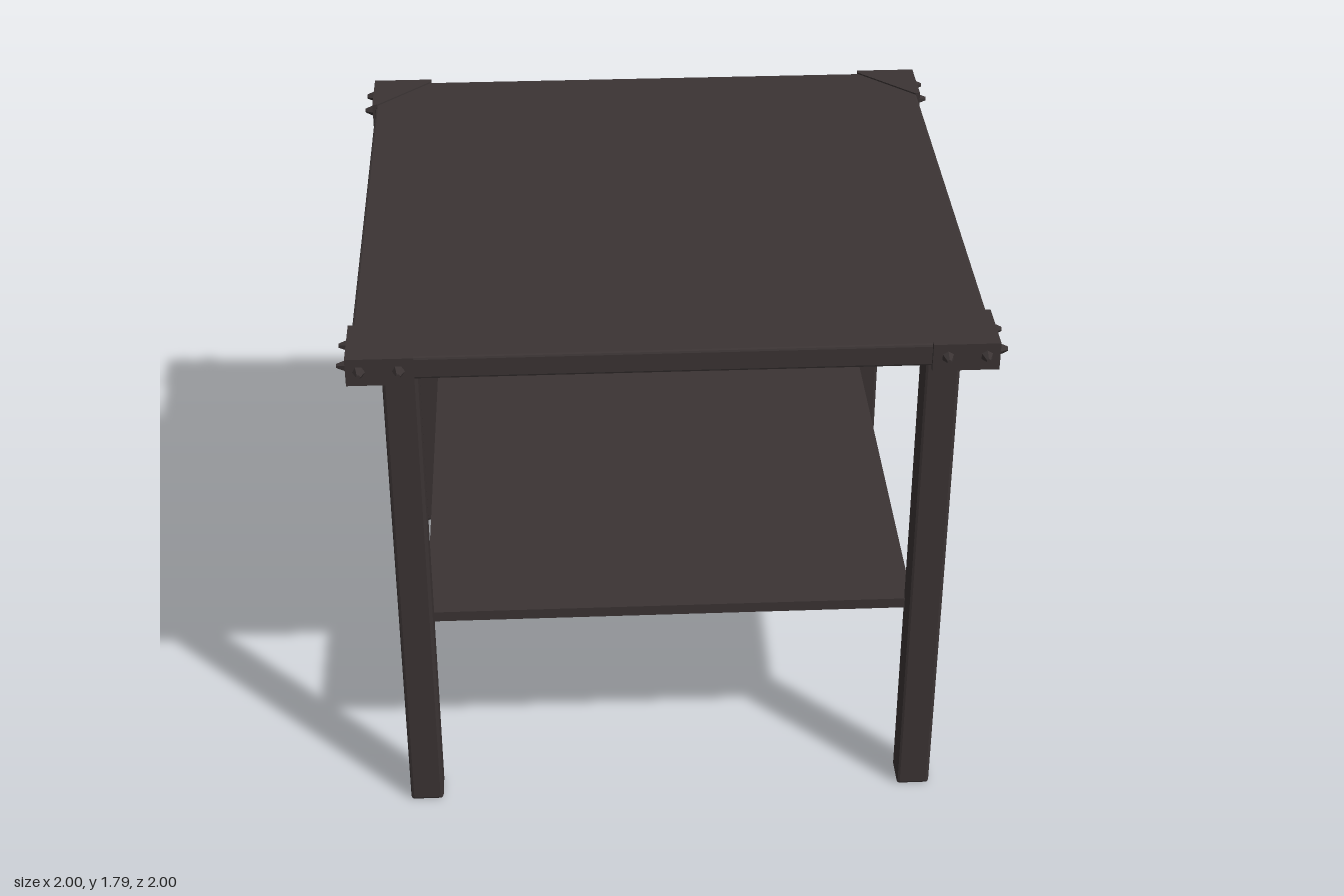
import * as THREE from 'three';
import { RoundedBoxGeometry } from 'three/addons/geometries/RoundedBoxGeometry.js';

export function createModel() {
  const model = new THREE.Group();
  model.name = 'sideTable';
  const darkWood = new THREE.MeshStandardMaterial({ color: 0x3b3434 });
  darkWood.name = 'dark wood';
  darkWood.flatShading = true;

  const add = (parent, name, geometry, x = 0, y = 0, z = 0) => {
    const mesh = new THREE.Mesh(geometry, darkWood);
    mesh.name = name;
    mesh.position.set(x, y, z);
    parent.add(mesh);
    return mesh;
  };
  // Box with one narrow chamfer along every edge
  const chamferBox = (w, h, d, c) => new RoundedBoxGeometry(w, h, d, 1, c);

  // Table top and lower shelf
  add(model, 'tableTop', chamferBox(1.92, 0.075, 1.92, 0.008), 0, 1.7475, 0);
  add(model, 'shelf', new THREE.BoxGeometry(1.58, 0.036, 1.58), 0, 0.702, 0);

  // Corner bracket: a triangular cap wrapping the corner of the top
  const outer = 0.972, end = 0.77, lip = 0.955;
  const outline = new THREE.Shape([
    [end, -lip], [end, -outer], [outer, -outer], [outer, -end], [lip, -end],
  ].map(([x, y]) => new THREE.Vector2(x, y)));
  const bracketGeometry = new THREE.ExtrudeGeometry(outline, { depth: 0.09, bevelEnabled: false });
  bracketGeometry.rotateX(-Math.PI / 2);

  const legGeometry = chamferBox(0.108, 1.72, 0.108, 0.01);
  const studGeometry = new THREE.CylinderGeometry(0.007, 0.019, 0.028, 6);

  // Each corner has a leg, a bracket and two studs on each outer face
  for (let i = 0; i < 4; i++) {
    const corner = new THREE.Group();
    corner.name = 'corner' + (i + 1);
    corner.rotation.y = i * Math.PI / 2;
    add(corner, 'leg', legGeometry, 0.82, 0.86, 0.82);
    add(corner, 'bracket', bracketGeometry, 0, 1.7, 0);
    for (const along of [0.815, 0.932]) {
      add(corner, 'stud', studGeometry, along, 1.747, outer + 0.014).rotation.x = Math.PI / 2;
      add(corner, 'stud', studGeometry, outer + 0.014, 1.747, along).rotation.z = -Math.PI / 2;
    }
    model.add(corner);
  }
  return model;
}
